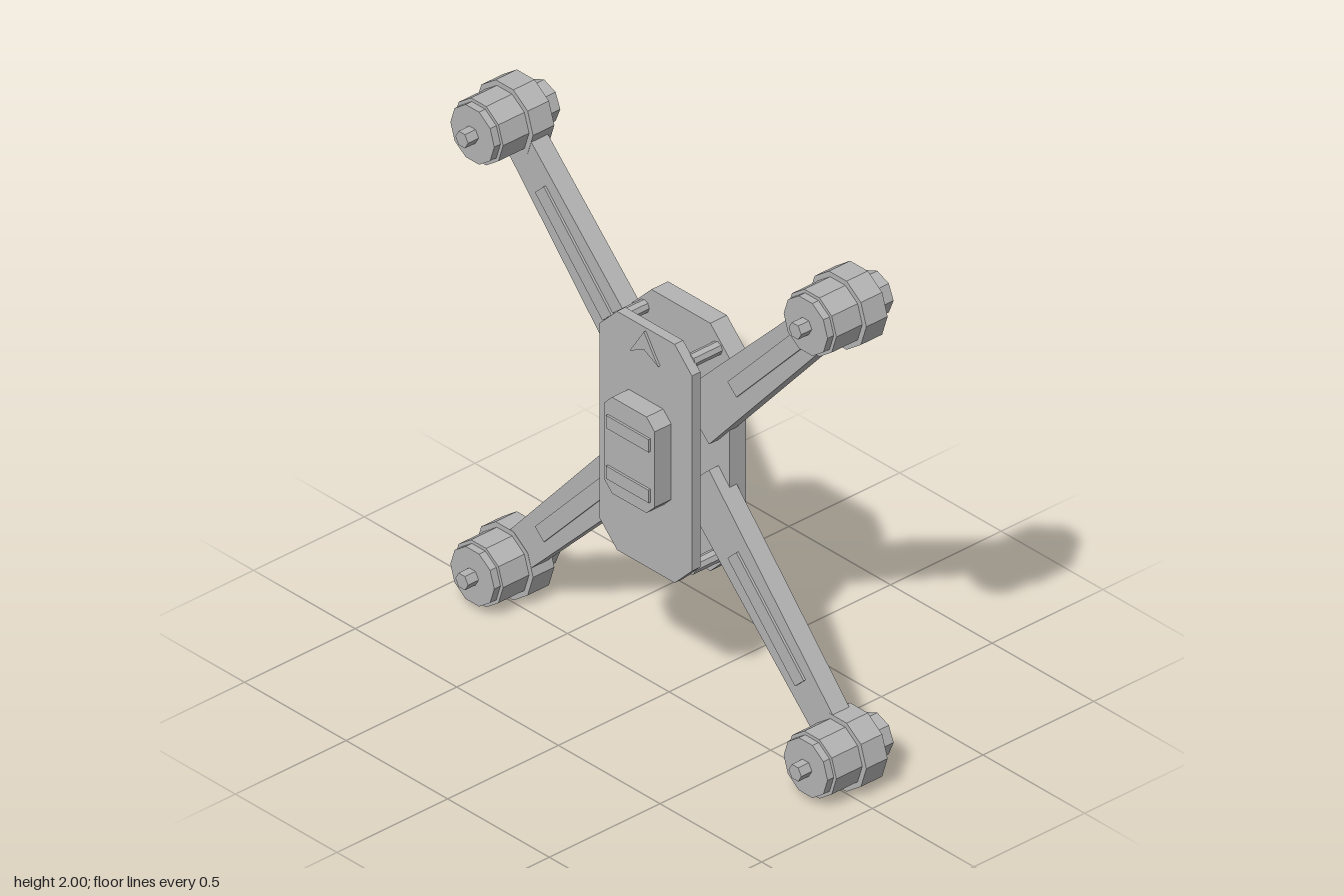
import * as THREE from 'three';

const grey = new THREE.MeshStandardMaterial({ color: 0xb4b4b4, flatShading: true });
grey.name = 'frame grey';

// Flat outline extruded between two depths
function slab(name, points, z0, z1) {
  const shape = new THREE.Shape(points.map(([x, y]) => new THREE.Vector2(x, y)));
  const geo = new THREE.ExtrudeGeometry(shape, { depth: z1 - z0, bevelEnabled: false });
  geo.translate(0, 0, z0);
  const mesh = new THREE.Mesh(geo, grey);
  mesh.name = name;
  return mesh;
}

// Rectangle with cut corners, centred on the origin
function chamfered(hw, hh, cx, cy) {
  return [
    [hw, -hh + cy], [hw, hh - cy], [hw - cx, hh], [-hw + cx, hh],
    [-hw, hh - cy], [-hw, -hh + cy], [-hw + cx, -hh], [hw - cx, -hh],
  ];
}

// Faceted cylinder along z with a corner on the x axis
function drum(name, r, sides, z0, z1) {
  const geo = new THREE.CylinderGeometry(r, r, z1 - z0, sides, 1, false, Math.PI / 2);
  geo.rotateX(Math.PI / 2);
  geo.translate(0, 0, (z0 + z1) / 2);
  const mesh = new THREE.Mesh(geo, grey);
  mesh.name = name;
  return mesh;
}

export function createModel() {
  const model = new THREE.Group();
  model.name = 'quadcopterFrame';

  // Body: two plates, battery and its straps, stacked along z
  const body = new THREE.Group();
  body.name = 'body';
  body.position.y = 1.003;
  body.add(
    slab('basePlate', chamfered(0.24, 0.485, 0.095, 0.095), -0.128, -0.053),
    slab('upperPlate', chamfered(0.227, 0.467, 0.085, 0.085), 0.067, 0.105),
    slab('battery', chamfered(0.125, 0.188, 0.04, 0.04), 0.105, 0.18),
    slab('headingArrow', [[0, 0.455], [-0.07, 0.35], [0, 0.385], [0.07, 0.35]], 0.105, 0.114),
  );
  for (const y of [-0.111, 0.087]) {
    const strap = slab('batteryStrap', chamfered(0.105, 0.025, 0, 0).filter((p, i) => i % 2 === 0), 0.18, 0.189);
    strap.position.y = y;
    body.add(strap);
  }
  model.add(body);

  // Arms, motors and standoffs at the four corners
  const reachX = 0.82, reachY = 0.865;
  const reach = Math.hypot(reachX, reachY);
  for (const sx of [-1, 1]) {
    for (const sy of [-1, 1]) {
      const standoff = drum('standoff', 0.025, 8, -0.055, 0.07);
      standoff.position.set(sx * 0.18, 1.003 + sy * 0.405, 0);
      model.add(standoff);

      // Tapered arm with a raised strip
      const arm = new THREE.Group();
      arm.name = 'arm';
      arm.position.y = 1;
      arm.rotation.z = Math.atan2(sy * reachY, sx * reachX);
      arm.add(
        slab('armBeam', [[0.164, -0.1], [reach - 0.03, -0.071], [reach - 0.03, 0.071], [0.164, 0.1]], -0.085, -0.01),
        slab('armStrip', [[0.447, -0.03], [0.93, -0.03], [0.93, 0.03], [0.447, 0.03]], -0.01, -0.001),
      );
      model.add(arm);

      // Motor: rear foot, mount collar, bell, cap and shaft
      const motor = new THREE.Group();
      motor.name = 'motor';
      motor.position.set(sx * reachX, 1 + sy * reachY, 0);
      motor.add(
        drum('rearFoot', 0.08, 8, -0.188, -0.105),
        drum('mountCollar', 0.141, 10, -0.105, -0.009),
        drum('motorBell', 0.121, 10, -0.009, 0.108),
        drum('motorCap', 0.108, 10, 0.108, 0.136),
        drum('motorShaft', 0.031, 6, 0.136, 0.184),
      );
      model.add(motor);
    }
  }
  return model;
}
